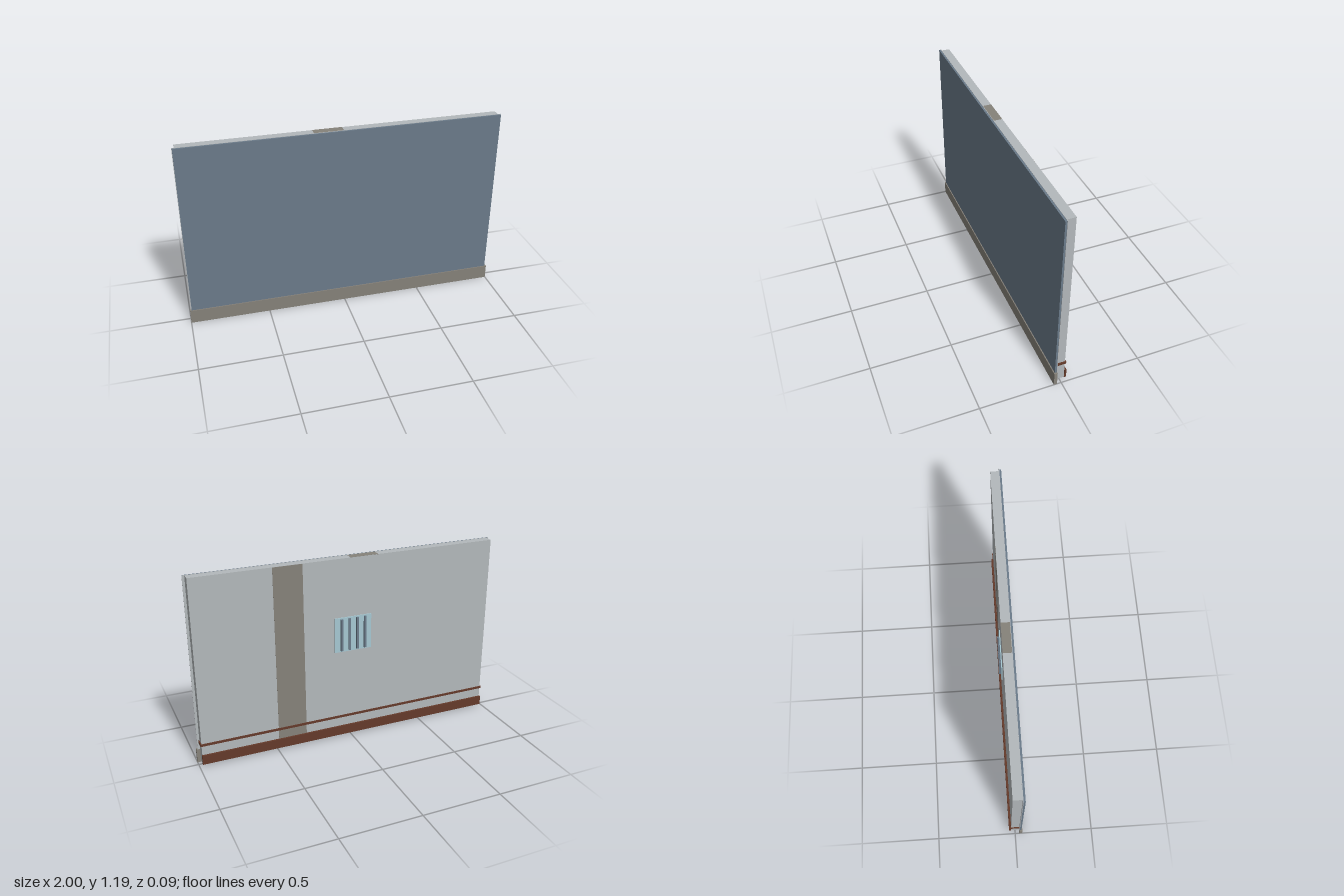
import * as THREE from 'three';

export function createModel() {
  const group = new THREE.Group();
  group.name = 'wallPanel';

  const mat = (name, color) => {
    const m = new THREE.MeshStandardMaterial({ color });
    m.name = name;
    return m;
  };
  const plaster = mat('pale grey plaster', 0xb3b8bb);
  const cladding = mat('slate blue cladding', 0x6b7b8a);
  const stone = mat('warm grey stone', 0x86827a);
  const wood = mat('dark brown wood', 0x643a2a);
  const glass = mat('pale blue glass', 0xa6c8d2);

  // Box given by its limits on each axis
  const box = (name, material, [x0, x1], [y0, y1], [z0, z1]) => {
    const mesh = new THREE.Mesh(new THREE.BoxGeometry(x1 - x0, y1 - y0, z1 - z0), material);
    mesh.position.set((x0 + x1) / 2, (y0 + y1) / 2, (z0 + z1) / 2);
    mesh.name = name;
    group.add(mesh);
  };

  // Wall core, with thin backing behind the outer cladding
  box('wallCore', plaster, [-0.978, 0.978], [0.015, 1.192], [-0.026, 0.028]);
  box('claddingBacking', plaster, [-0.993, 0.993], [0.02, 1.194], [0.026, 0.029]);
  box('outerCladding', cladding, [-0.99, 0.99], [0.02, 1.192], [0.029, 0.04]);
  box('outerPlinth', stone, [-1, 1], [0, 0.09], [0.026, 0.046]);

  // Darker bands on the inner face and on the top edge
  box('innerBand', stone, [0.306, 0.49], [0.015, 1.191], [-0.0268, -0.025]);
  box('topBand', stone, [-0.18, 0], [1.19, 1.1928], [-0.026, 0.026]);

  // Skirting board and the rail that wraps round both ends
  box('skirting', wood, [-0.981, 0.981], [0.015, 0.075], [-0.039, -0.026]);
  box('wrapRail', wood, [-0.985, 0.985], [0.135, 0.15], [-0.031, 0.026]);

  // Window pane with four upright bars
  box('windowPane', glass, [-0.135, 0.109], [0.595, 0.82], [-0.032, -0.026]);
  for (let i = 0; i < 4; i++) {
    const x = -0.091 + i * 0.052;
    box('windowBar', cladding, [x - 0.007, x + 0.007], [0.605, 0.812], [-0.044, -0.031]);
  }
  return group;
}
